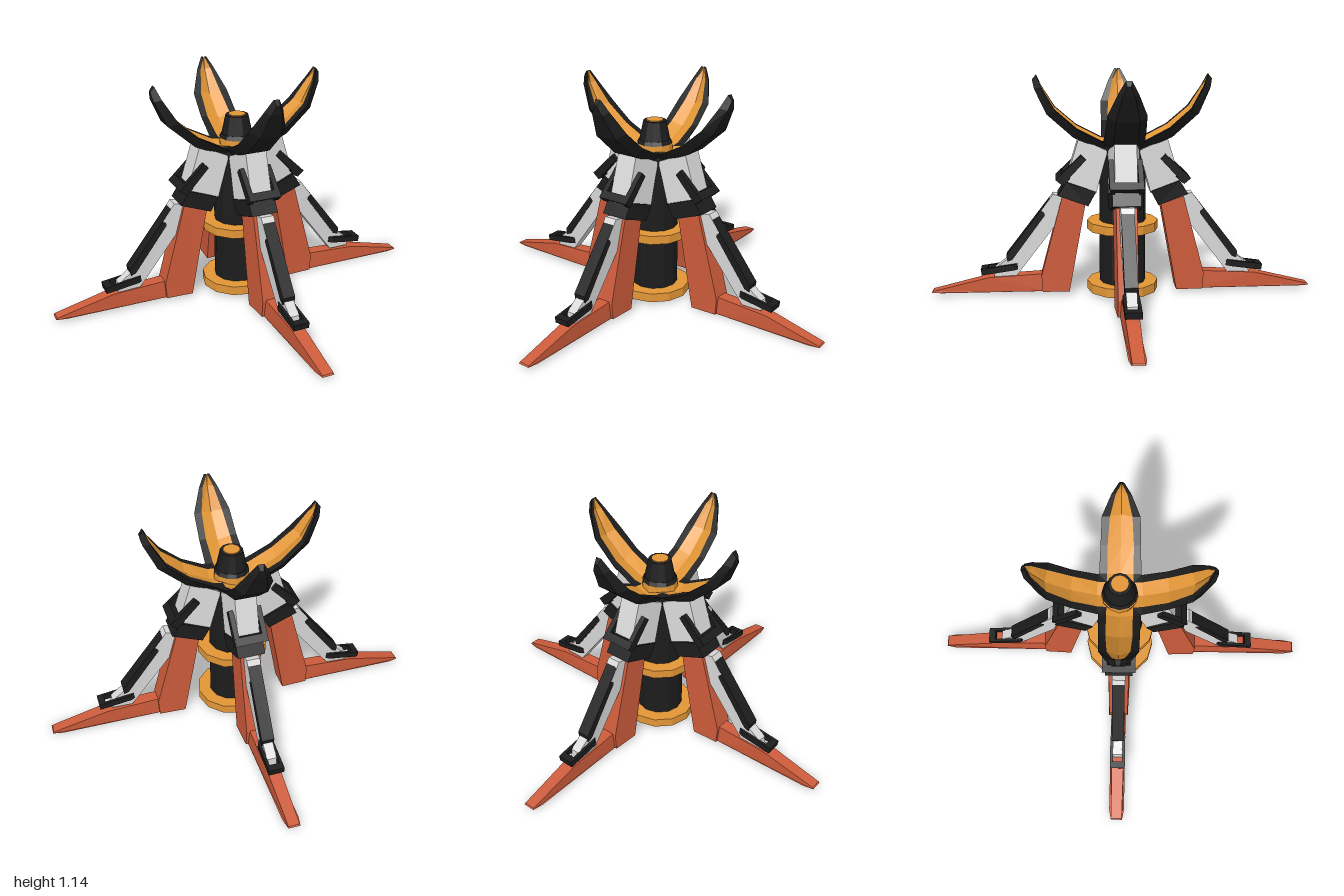
import * as THREE from 'three';

const mat = (name, color) => {
  const m = new THREE.MeshStandardMaterial({ color });
  m.name = name;
  return m;
};

export function createModel() {
  const red = mat('rust red', 0xcc5b3b);
  const gold = mat('gold', 0xe29636);
  const black = mat('charcoal', 0x1c1c1c);
  const white = mat('light grey', 0xd9d9d9);

  const add = (parent, name, geometry, material) => {
    const g = geometry.index ? geometry.toNonIndexed() : geometry;
    g.computeVertexNormals(); // faceted
    const mesh = new THREE.Mesh(g, material);
    mesh.name = name;
    parent.add(mesh);
    return mesh;
  };

  const fromTriangles = (tris) => {
    const g = new THREE.BufferGeometry();
    g.setAttribute('position', new THREE.Float32BufferAttribute(tris.flat(2), 3));
    return g;
  };

  // Slab from a counter-clockwise side profile of [x, y, halfWidth]
  const slab = (profile) => {
    const at = (i, s) => {
      const [x, y, w] = profile[i % profile.length];
      return [x, y, s * w];
    };
    const tris = [];
    for (let i = 0; i < profile.length; i++) {
      tris.push([at(i, -1), at(i + 1, -1), at(i + 1, 1)], [at(i, -1), at(i + 1, 1), at(i, 1)]);
      if (i > 0 && i < profile.length - 1) {
        tris.push([at(0, 1), at(i, 1), at(i + 1, 1)], [at(0, -1), at(i + 1, -1), at(i, -1)]);
      }
    }
    return fromTriangles(tris);
  };
  const evenSlab = (points, w) => slab(points.map(([x, y]) => [x, y, w]));

  // Surface through rows of points
  const skin = (rows) => {
    const tris = [];
    for (let i = 0; i + 1 < rows.length; i++) {
      for (let j = 0; j + 1 < rows[i].length; j++) {
        const a = rows[i][j], b = rows[i][j + 1], c = rows[i + 1][j + 1], d = rows[i + 1][j];
        tris.push([a, b, c], [a, c, d]);
      }
    }
    return tris;
  };

  // Petal sections: rim x, rim y, back x, back y, half width, lining half width
  const sections = [
    [0.04, 0.80, 0.06, 0.765, 0.10, 0.065],
    [0.11, 0.81, 0.12, 0.77, 0.105, 0.065],
    [0.235, 0.875, 0.25, 0.825, 0.10, 0.065],
    [0.345, 0.97, 0.385, 0.945, 0.095, 0.055],
    [0.41, 1.08, 0.445, 1.07, 0.048, 0.028],
    [0.435, 1.14, 0.455, 1.115, 0.015, 0.002],
  ];

  const addPetal = (leg) => {
    const shell = sections.map(([x, y, bx, by, w, g]) => [
      [x, y, g], [x, y, w], [bx, by, w * 0.6], [bx, by, -w * 0.6], [x, y, -w], [x, y, -g],
    ]);
    const lining = sections.map(([x, y, bx, by, w, g]) => [
      [x, y, -g], [x + (bx - x) * 0.4, y + (by - y) * 0.4, 0], [x, y, g],
    ]);
    const tris = skin(shell);
    const tip = shell[shell.length - 1];
    for (let i = 1; i < 5; i++) tris.push([tip[0], tip[i], tip[i + 1]]);
    add(leg, 'petalShell', fromTriangles(tris), black);
    add(leg, 'petalLining', fromTriangles(skin(lining)), gold);
  };

  const addLeg = (parent, k) => {
    const leg = new THREE.Group();
    leg.name = 'leg' + (k + 1);
    leg.rotation.y = k * Math.PI / 2;
    parent.add(leg);
    addPetal(leg);

    // Thigh, cuff and the bracket wrapped round the thigh
    add(leg, 'thigh', slab([[0.14, 0.54, 0.08], [0.30, 0.58, 0.055],
      [0.225, 0.825, 0.055], [0.08, 0.76, 0.08]]), white);
    add(leg, 'kneeCuff', slab([[0.18, 0.475, 0.08], [0.335, 0.53, 0.07],
      [0.29, 0.60, 0.07], [0.14, 0.55, 0.085]]), black);
    for (const side of [-1, 1]) {
      add(leg, 'bracketArm', evenSlab([[0.31, 0.585], [0.345, 0.615],
        [0.215, 0.74], [0.19, 0.715]], 0.013), black).position.z = side * 0.071;
    }
    add(leg, 'bracketBar', evenSlab([[0.30, 0.59], [0.345, 0.615],
      [0.315, 0.645], [0.27, 0.62]], 0.08), black);

    // Shin and long pointed foot
    const drop = k === 0 ? -0.015 : 0;
    add(leg, 'shin', slab([[0.28, 0.015, 0.058], [0.42, 0.015, 0.052], [0.425, 0.10, 0.05],
      [0.31, 0.53, 0.052], [0.185, 0.53, 0.06]]), red).position.y = drop;
    add(leg, 'foot', slab([[0.40, 0.015, 0.04], [0.94, 0.015, 0.04], [0.995, 0.015, 0.03],
      [0.99, 0.022, 0.028], [0.70, 0.092, 0.033], [0.40, 0.108, 0.033]]), red).position.y = drop;

    // Outer strut, its cover and the small frame at its end
    add(leg, 'strut', slab([[0.56, 0.09, 0.025], [0.67, 0.09, 0.024], [0.665, 0.14, 0.024],
      [0.60, 0.19, 0.026], [0.36, 0.53, 0.034], [0.24, 0.51, 0.038]]), white);
    add(leg, 'strutCover', evenSlab([[0.575, 0.185], [0.60, 0.175], [0.605, 0.21],
      [0.378, 0.505], [0.35, 0.49]], 0.032), black);
    const outline = new THREE.Shape([[-0.095, -0.03], [-0.075, -0.04], [0.095, -0.04],
      [0.095, 0.04], [-0.075, 0.04], [-0.095, 0.03]].map(([x, y]) => new THREE.Vector2(x, y)));
    outline.holes.push(new THREE.Path([[-0.045, -0.025], [-0.045, 0.025],
      [0.06, 0.025], [0.06, -0.025]].map(([x, y]) => new THREE.Vector2(x, y))));
    const frame = new THREE.ExtrudeGeometry(outline, { depth: 0.032, bevelEnabled: false });
    frame.translate(0, 0, -0.016).rotateX(-Math.PI / 2);
    const pad = add(leg, 'strutFrame', frame, black);
    pad.position.set(0.642, 0.136, 0);
    pad.rotation.z = -0.14;
  };

  const model = new THREE.Group();
  model.name = 'walker';

  // Central column, rings and top nozzle: name, top radius, bottom radius, y from, y to, material
  const drums = [
    ['column', 0.12, 0.12, 0.008, 0.79, black],
    ['lowerRing', 0.185, 0.185, 0.013, 0.06, gold],
    ['upperRing', 0.185, 0.185, 0.34, 0.385, gold],
    ['nozzleCollar', 0.088, 0.092, 0.78, 0.83, gold],
    ['nozzleBase', 0.08, 0.09, 0.83, 0.85, black],
    ['nozzle', 0.058, 0.078, 0.85, 0.945, black],
    ['nozzleCap', 0.043, 0.043, 0.93, 0.95, gold],
  ];
  for (const [name, top, bottom, y0, y1, material] of drums) {
    const g = new THREE.CylinderGeometry(top, bottom, y1 - y0, 12);
    add(model, name, g.translate(0, (y0 + y1) / 2, 0), material);
  }

  for (let k = 0; k < 4; k++) addLeg(model, k);
  return model;
}
